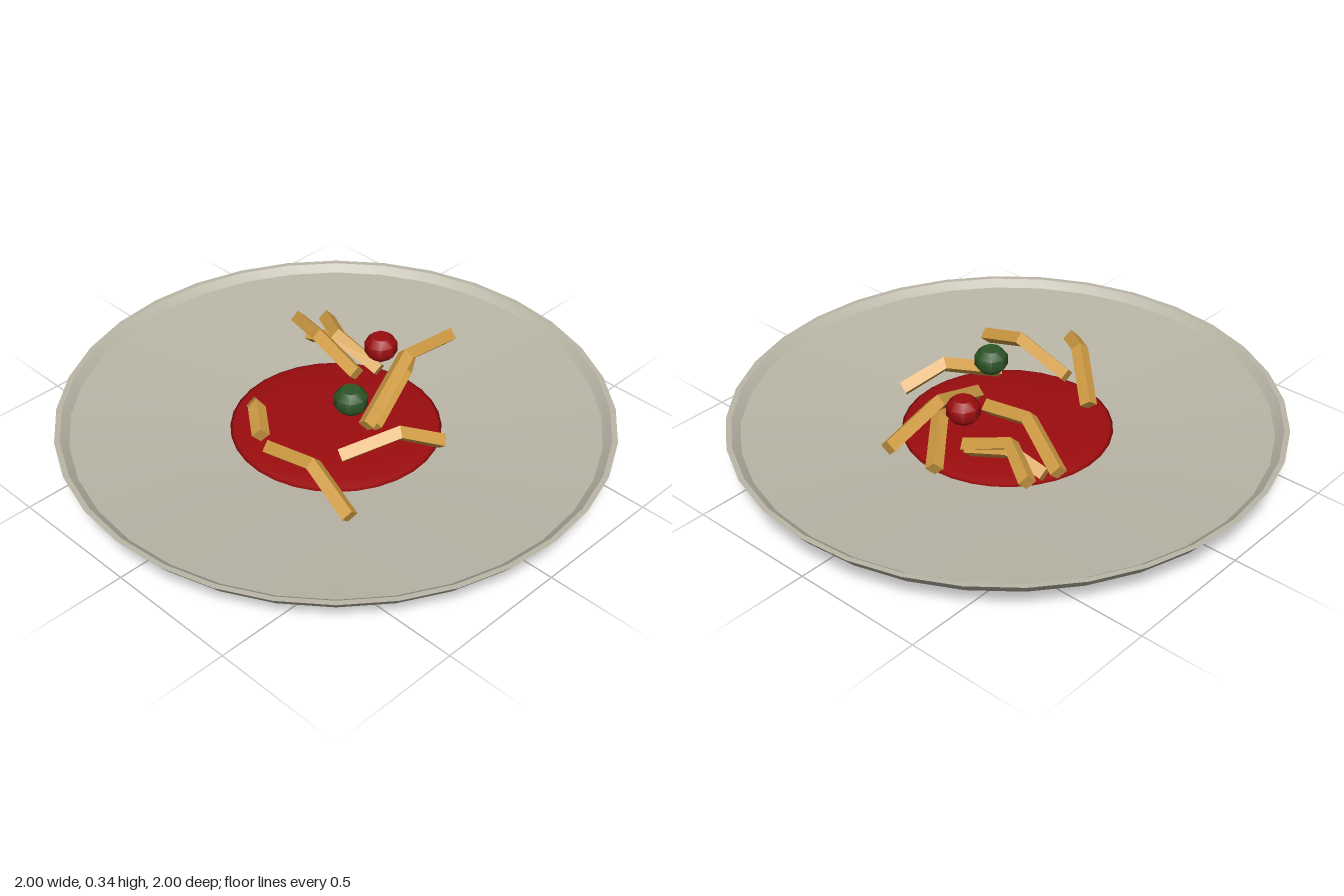
import * as THREE from 'three';
import { toCreasedNormals } from 'three/addons/utils/BufferGeometryUtils.js';

const paint = (name, color) => {
  const m = new THREE.MeshStandardMaterial({ color });
  m.name = name;
  return m;
};

const lathe = (pts, segments, crease) => toCreasedNormals(
  new THREE.LatheGeometry(pts.map(([r, y]) => new THREE.Vector2(r, y)), segments), crease);

// Diamond-section bar swept along a bent path, with mitred corners and capped ends
function barGeometry(path, radius) {
  const pts = path.map((p) => new THREE.Vector3(...p));
  const last = pts.length - 1;
  const pos = [], index = [];
  const up = new THREE.Vector3(0, 1, 0);
  pts.forEach((p, i) => {
    const t = pts[Math.min(i + 1, last)].clone().sub(pts[Math.max(i - 1, 0)]).normalize();
    const side = new THREE.Vector3().crossVectors(t, up).normalize();
    const top = new THREE.Vector3().crossVectors(side, t);
    for (const [a, b] of [[0, -1], [1, 0], [0, 1], [-1, 0]]) {
      const v = p.clone().addScaledVector(side, a * radius).addScaledVector(top, b * radius);
      pos.push(v.x, v.y, v.z);
    }
  });
  for (let i = 0; i < last; i++) {
    for (let k = 0; k < 4; k++) {
      const a = i * 4 + k, b = i * 4 + (k + 1) % 4;
      index.push(a, b + 4, b, a, a + 4, b + 4);
    }
  }
  const e = last * 4;
  index.push(0, 1, 2, 0, 2, 3, e, e + 2, e + 1, e, e + 3, e + 2);
  const indexed = new THREE.BufferGeometry();
  indexed.setAttribute('position', new THREE.Float32BufferAttribute(pos, 3));
  indexed.setIndex(index);
  const g = indexed.toNonIndexed();
  g.computeVertexNormals();
  return g;
}

export function createModel() {
  const model = new THREE.Group();
  model.name = 'plateOfPasta';
  const ceramic = paint('ceramic', 0xbab6a7);
  const red = paint('tomatoRed', 0x9c0c0e);
  const pasta = paint('pasta', 0xd09c44);
  const green = paint('herbGreen', 0x2e5528);

  const add = (name, geometry, material, position = [0, 0, 0]) => {
    const mesh = new THREE.Mesh(geometry, material);
    mesh.name = name;
    mesh.position.set(...position);
    model.add(mesh);
  };

  // Plate: smooth foot and underside, then rim and shallow conical bowl
  add('plateUnderside', lathe([
    [0, 0], [0.71, 0], [0.73, 0.026], [0.6, 0.036], [0.96, 0.11], [1, 0.158],
  ], 32, 1), ceramic);
  add('plateBowl', lathe([
    [1, 0.158], [0.98, 0.158], [0.95, 0.133], [0.6, 0.1], [0.38, 0.081], [0, 0.06],
  ], 32, 0.35), ceramic);

  // Sauce pool, a flattened ball resting in the bowl
  add('sauce', new THREE.SphereGeometry(0.38, 32, 12).scale(1, 0.065, 1), red, [0, 0.09, 0]);

  // Bent pasta pieces
  const pieces = [
    [[-0.39, 0.272, 0.03], [-0.315, 0.298, -0.07], [-0.2, 0.17, -0.21]],
    [[-0.318, 0.155, -0.01], [-0.328, 0.217, 0.22], [-0.365, 0.138, 0.43]],
    [[-0.18, 0.16, 0.2], [0, 0.222, 0.31], [0.14, 0.15, 0.385]],
    [[0, 0.165, 0.15], [0.28, 0.29, 0.075], [0.54, 0.242, 0.055]],
    [[0.04, 0.145, 0.15], [0.27, 0.222, 0.075], [0.43, 0.148, -0.05]],
    [[0.125, 0.24, -0.02], [0.147, 0.29, -0.23], [0.245, 0.22, -0.445]],
    [[0.275, 0.165, -0.05], [0.25, 0.24, -0.24], [0.34, 0.205, -0.39]],
    [[0.28, 0.165, -0.07], [0.255, 0.22, -0.24], [0.24, 0.18, -0.38]],
  ];
  pieces.forEach((path, i) => add(`pastaPiece${i + 1}`, barGeometry(path, 0.031), pasta));

  // Rounded tomato and herb lumps
  const lump = lathe([
    [0, -0.045], [0.035, -0.045], [0.06, -0.02], [0.06, 0.02], [0.035, 0.045], [0, 0.045],
  ], 8, 0.79);
  add('tomato', lump, red, [0.255, 0.293, -0.025]);
  add('herb', lump, green, [-0.052, 0.293, 0.125]);

  return model;
}
